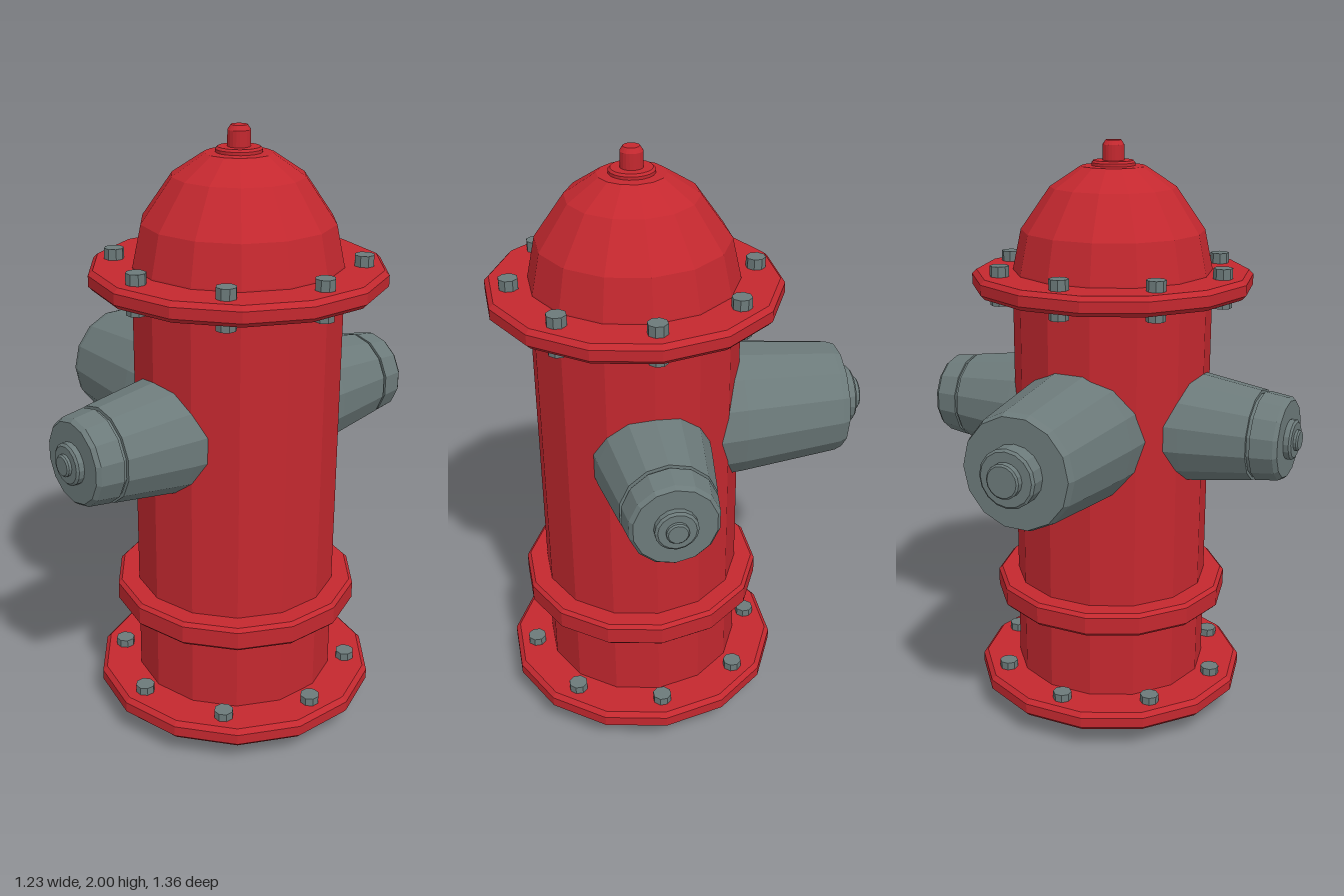
import * as THREE from 'three';

const SIDES = 14;
const red = new THREE.MeshStandardMaterial({ color: 0xc4282f, flatShading: true });
const grey = new THREE.MeshStandardMaterial({ color: 0x6c7a7a, flatShading: true });

// Turned part from [radius, height] pairs, listed bottom to top
function turned(name, profile, material, sides = SIDES) {
  const points = profile.map(([r, y]) => new THREE.Vector2(r, y));
  const mesh = new THREE.Mesh(new THREE.LatheGeometry(points, sides), material);
  mesh.name = name;
  return mesh;
}

// Flat ring with chamfered rim
function flange(name, radius, y0, y1, bevel) {
  return turned(name, [
    [0.3, y0], [radius - bevel, y0], [radius, y0 + bevel],
    [radius, y1 - bevel], [radius - bevel, y1], [0.3, y1],
  ], red);
}

// Circle of eight bolt heads
function boltCircle(name, y0, y1) {
  const group = new THREE.Group();
  group.name = name;
  const geometry = new THREE.CylinderGeometry(0.032, 0.032, y1 - y0, 8);
  for (let i = 0; i < 8; i++) {
    const a = (i * Math.PI) / 4;
    const bolt = new THREE.Mesh(geometry, grey);
    bolt.name = 'bolt';
    bolt.position.set(0.394 * Math.sin(a), (y0 + y1) / 2, 0.394 * Math.cos(a));
    bolt.rotation.y = Math.PI / 8;
    group.add(bolt);
  }
  return group;
}

export function createModel() {
  const hydrant = new THREE.Group();
  hydrant.name = 'hydrant';

  // Barrel and its rings
  hydrant.add(
    turned('barrel', [[0, 0], [0.338, 0], [0.338, 1.56], [0, 1.56]], red),
    flange('baseFlange', 0.475, 0.075, 0.14, 0.015),
    flange('middleRing', 0.41, 0.4, 0.482, 0.012),
    flange('topFlange', 0.475, 1.51, 1.575, 0.015),
  );

  // Dome with finial
  hydrant.add(
    turned('dome', [[0.338, 1.56], [0.336, 1.58], [0.308, 1.71], [0.21, 1.85], [0.108, 1.917], [0, 1.922]], red),
    turned('finial', [
      [0.073, 1.91], [0.073, 1.928], [0.066, 1.935], [0.036, 1.935],
      [0.036, 1.985], [0.026, 2], [0, 2],
    ], red, 20),
  );

  // Bolts above and below the top flange, and on the base flange
  hydrant.add(
    boltCircle('topBolts', 1.57, 1.61),
    boltCircle('topNuts', 1.48, 1.515),
    boltCircle('baseBolts', 0.135, 0.167),
  );

  // Small outlets at front and back, each with a grooved cap
  const outletProfile = [
    [0, 0.26], [0.193, 0.26], [0.187, 0.32], [0.154, 0.543], [0.143, 0.543],
    [0.143, 0.555], [0.151, 0.555], [0.141, 0.63], [0.13, 0.643], [0, 0.643],
  ];
  const outletKnob = [
    [0.067, 0.64], [0.067, 0.661], [0.059, 0.667], [0.035, 0.667],
    [0.035, 0.676], [0.03, 0.681], [0, 0.681],
  ];
  for (const [name, sign] of [['frontOutlet', 1], ['backOutlet', -1]]) {
    const outlet = new THREE.Group();
    outlet.name = name;
    outlet.add(turned('outletCap', outletProfile, grey), turned('outletKnob', outletKnob, grey, 16));
    outlet.position.y = 1.065;
    outlet.rotation.x = (sign * Math.PI) / 2;
    hydrant.add(outlet);
  }

  // Large outlet on the right
  const pumper = new THREE.Group();
  pumper.name = 'largeOutlet';
  pumper.add(
    turned('largeOutletCap', [
      [0, 0.2], [0.234, 0.2], [0.226, 0.33], [0.191, 0.665], [0.182, 0.69], [0, 0.69],
    ], grey),
    turned('largeOutletKnob', [
      [0.096, 0.68], [0.096, 0.738], [0.088, 0.745], [0.056, 0.745],
      [0.056, 0.765], [0.05, 0.77], [0, 0.77],
    ], grey, 16),
  );
  pumper.position.y = 1.065;
  pumper.rotation.z = Math.PI / 2;
  hydrant.add(pumper);

  // Offset the barrel so the whole width is centred
  hydrant.position.x = 0.152;
  const model = new THREE.Group();
  model.add(hydrant);
  return model;
}
